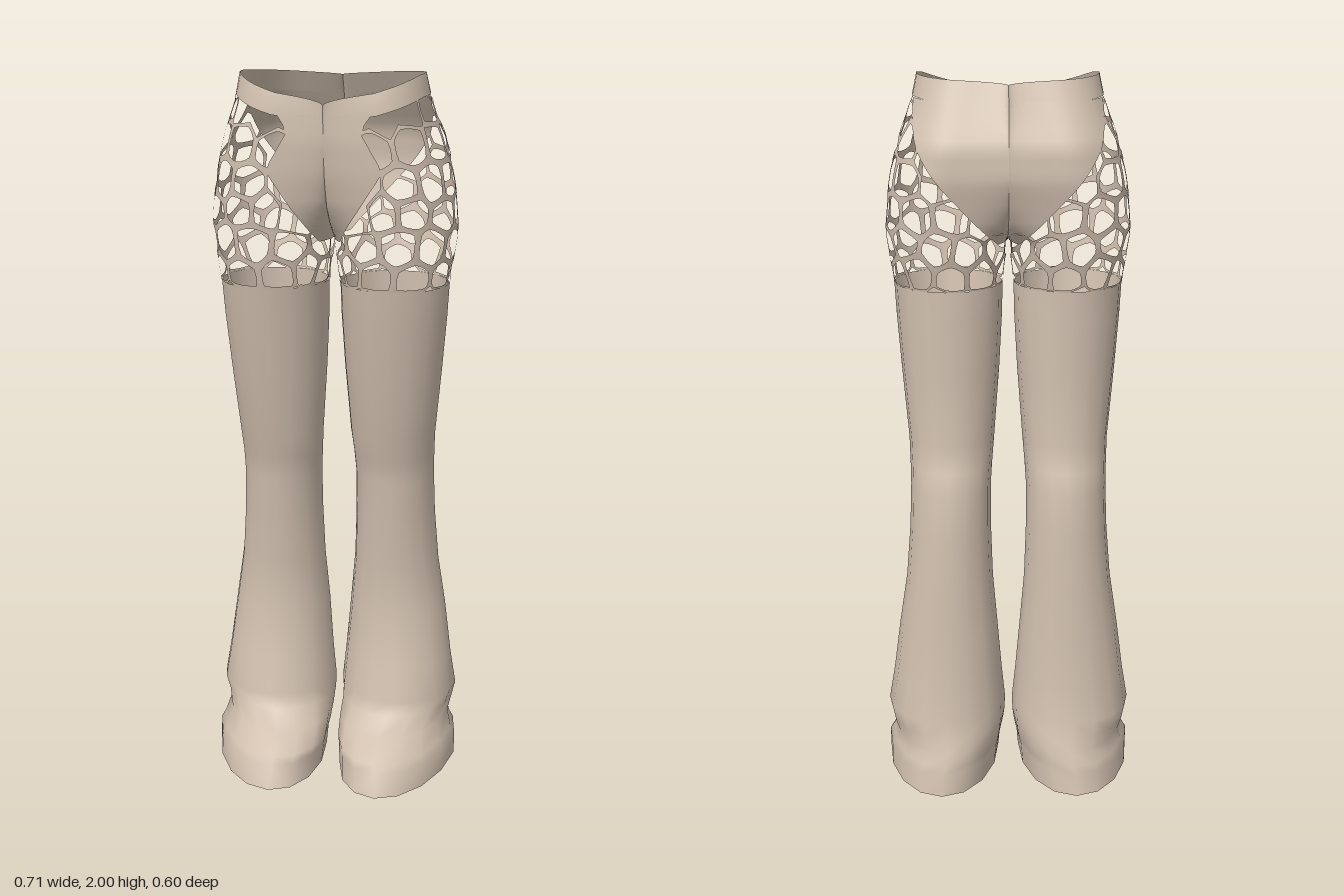
import * as THREE from 'three';

const PI = Math.PI;
const fabric = new THREE.MeshStandardMaterial({ color: 0xd0bfae, side: THREE.DoubleSide });
fabric.name = 'beige fabric';

// Linear lookup in rows sorted by their first column
function lookup(rows, k) {
  if (k <= rows[0][0]) return rows[0].slice(1);
  for (let i = 1; i < rows.length; i++) {
    if (k > rows[i][0]) continue;
    const a = rows[i - 1], b = rows[i], t = (k - a[0]) / (b[0] - a[0]);
    return a.slice(1).map((v, j) => v + (b[j + 1] - v) * t);
  }
  return rows[rows.length - 1].slice(1);
}

// Hip rows: y, centre x, outer radius, centre z, z radius, inner x, midline front z, midline back z
const HIP = [
  [1.44, .165, .15, .025, .155, .015, .025, .025],
  [1.56, .165, .167, .02, .18, 0, .02, .02],
  [1.60, .165, .17, .02, .183, 0, .10, -.10],
  [1.66, .165, .165, .02, .193, 0, .17, -.155],
  [1.74, .16, .16, .017, .205, 0, .208, -.19],
  [1.83, .15, .147, .022, .203, 0, .226, -.185],
  [1.93, .13, .13, .05, .168, 0, .23, -.14],
  [2.00, .12, .125, .06, .14, 0, .23, -.10],
];
// Angle a: 0 = outer side, +PI = front midline, -PI = back midline
function hip(a, y) {
  const [cx, rx, zc, rz, xi, zf, zb] = lookup(HIP, y);
  const c = Math.cos(a), s = Math.sin(a);
  if (c >= 0) return [cx + rx * c, y, zc + rz * s];
  const zm = s >= 0 ? zf : zb, zo = zc + Math.sign(s) * rz;
  return [cx + (cx - xi) * c, y, zm + (zo - zm) * Math.abs(s)];
}

// Waist rim height by angle
const RIM = [[-PI, 1.98], [-PI / 2, 1.99], [0, 2], [.5, 1.995], [PI / 2, 1.955], [PI, 1.925]];
const wrap = a => a > PI ? a - 2 * PI : a < -PI ? a + 2 * PI : a;
const rim = a => lookup(RIM, wrap(a))[0];

// Edges of the brief: y, angle
const FRONT_EDGE = [[1.56, 2.55], [1.65, 2.09], [1.76, 1.6], [1.86, 1.93], [1.9, 1.68]];
const BACK_EDGE = [[1.56, -2.55], [1.62, -2.1], [1.72, -1.5], [1.82, -.93], [1.94, -.35]];
const inBrief = (a, y) => y > 1.56 && (a > lookup(FRONT_EDGE, y)[0] || a < lookup(BACK_EDGE, y)[0]);

function makeMesh(name, points, index, side) {
  const g = new THREE.BufferGeometry();
  g.setAttribute('position', new THREE.Float32BufferAttribute(points.flatMap(p => [p[0] * side, p[1], p[2]]), 3));
  g.setIndex(side > 0 ? index : index.slice().reverse());
  g.computeVertexNormals();
  const m = new THREE.Mesh(g, fabric);
  m.name = name;
  return m;
}

// Sheet of nu x nv quads; u runs with growing angle, v upwards
function sheet(name, nu, nv, fn, side, closed = false) {
  const pts = [], idx = [], w = closed ? nu : nu + 1;
  for (let j = 0; j <= nv; j++) for (let i = 0; i < w; i++) pts.push(fn(i / nu, j / nv, j));
  for (let j = 0; j < nv; j++) for (let i = 0; i < nu; i++) {
    const a = j * w + i, b = j * w + (i + 1) % w;
    idx.push(a, a + w, b, b, a + w, b + w);
  }
  return makeMesh(name, pts, idx, side);
}

// Leg rows: y, inner x, outer x, back z, front z, toe skew
const LEG = [
  [0, .03, .357, -.30, .30, .04],
  [.06, .025, .357, -.285, .27, .04],
  [.08, .02, .345, -.28, .255, .035],
  [.12, .015, .332, -.265, .18, .025],
  [.16, .012, .343, -.25, .11, .01],
  [.20, .01, .352, -.24, .10, 0],
  [.30, .02, .335, -.222, .075, 0],
  [.45, .032, .315, -.21, .04, 0],
  [.60, .045, .292, -.20, .045, 0],
  [.75, .05, .28, -.192, .06, 0],
  [.87, .05, .276, -.178, .07, 0],
  [.93, .046, .277, -.16, .078, 0],
  [1.0, .04, .28, -.135, .10, 0],
  [1.2, .025, .298, -.132, .138, 0],
  [1.35, .017, .31, -.13, .165, 0],
  [1.44, .015, .315, -.13, .18, 0],
];
function legPoint(u, j) {
  const [y, x0, x1, z0, z1, skew] = LEG[j], a = u * 2 * PI, s = Math.sin(a);
  return [(x0 + x1) / 2 + (x1 - x0) / 2 * Math.cos(a) - skew * Math.max(0, s), y, (z0 + z1) / 2 + (z1 - z0) / 2 * s];
}

// Flat sole as a fan
function sole(side, n = 16) {
  const pts = [[.19, 0, 0]], idx = [];
  for (let i = 0; i < n; i++) {
    pts.push(legPoint(i / n, 0));
    idx.push(0, 1 + i, 1 + (i + 1) % n);
  }
  return makeMesh('sole', pts, idx, side);
}

// Keep the part of a polygon where f(p) >= 0, f being linear
function clip(poly, f) {
  const out = [];
  poly.forEach((p, i) => {
    const q = poly[(i + 1) % poly.length], fp = f(p), fq = f(q);
    if (fp >= 0) out.push(p);
    if (fp * fq < 0) {
      const t = fp / (fp - fq);
      out.push([p[0] + (q[0] - p[0]) * t, p[1] + (q[1] - p[1]) * t]);
    }
  });
  return out;
}

// Net of cells around the hip: each cell is a ring with a rounded hole
function lace(side) {
  const R = .16, N = 11, pts = [], idx = [], seeds = [];
  let seed = 7;
  const rand = () => (seed = (seed * 16807) % 2147483647) / 2147483647 - .5;
  for (let j = 0; j < 8; j++) for (let i = 0; i < N; i++) {
    const a = ((i + (j % 2) / 2 + rand() * .5) / N * 2 - 1) * PI;
    seeds.push([wrap(a) * R, 1.39 + j * .085 + rand() * .04]);
  }
  const all = [-1, 0, 1].flatMap(k => seeds.map(s => [s[0] + k * 2 * PI * R, s[1]]));
  for (const c of seeds) {
    if (c[1] < 1.43 || c[1] > rim(c[0] / R) - .065 || inBrief(c[0] / R, c[1])) continue;
    let poly = [[-.3, -.3], [.3, -.3], [.3, .3], [-.3, .3]].map(d => [c[0] + d[0], c[1] + d[1]]);
    for (const o of all) {
      const dx = o[0] - c[0], dy = o[1] - c[1];
      if (dx * dx + dy * dy < 1e-9) continue;
      poly = clip(poly, p => dx * ((o[0] + c[0]) / 2 - p[0]) + dy * ((o[1] + c[1]) / 2 - p[1]));
    }
    poly = clip(poly, p => p[1] - 1.44);
    if (poly.length < 3) continue;
    poly = poly.map(p => [p[0], Math.min(p[1], rim(p[0] / R) - .045)]);
    const mx = poly.reduce((s, p) => s + p[0], 0) / poly.length;
    const my = poly.reduce((s, p) => s + p[1], 0) / poly.length;
    const base = pts.length, n = poly.length * 3;
    poly.forEach((p, i) => {
      const q = poly[(i + 1) % poly.length];
      for (let k = 0; k < 3; k++) {
        const x = p[0] + (q[0] - p[0]) * k / 3, y = p[1] + (q[1] - p[1]) * k / 3, f = k ? .84 : .79;
        pts.push(hip(x / R, y), hip((mx + (x - mx) * f) / R, my + (y - my) * f));
      }
    });
    for (let i = 0; i < n; i++) {
      const o = base + 2 * i, p = base + 2 * ((i + 1) % n);
      idx.push(o, o + 1, p, p, o + 1, p + 1);
    }
  }
  return makeMesh('laceNet', pts, idx, side);
}

export function createModel() {
  const model = new THREE.Group();
  model.name = 'trousers';
  for (const side of [1, -1]) {
    const half = new THREE.Group();
    half.name = side > 0 ? 'leftHalf' : 'rightHalf';
    half.add(
      sheet('leg', 16, LEG.length - 1, (u, v, j) => legPoint(u, j), side, true),
      sole(side),
      lace(side),
      // Front and back panels of the brief
      sheet('briefFront', 10, 14, (u, v) => {
        const y = 1.56 + .34 * v, e = lookup(FRONT_EDGE, y)[0];
        return hip(e + (PI - 1e-6 - e) * u, y);
      }, side),
      sheet('briefBack', 14, 16, (u, v) => {
        const y = 1.56 + .38 * v, e = lookup(BACK_EDGE, y)[0];
        return hip(-PI + 1e-6 + (e + PI) * u, y);
      }, side),
      // Waistband following the tilted rim
      sheet('waistband', 28, 2, (u, v) => {
        const a = (u * 2 - 1) * (PI - 1e-6);
        return hip(a, rim(a) - .055 * (1 - v));
      }, side),
    );
    model.add(half);
  }
  return model;
}
